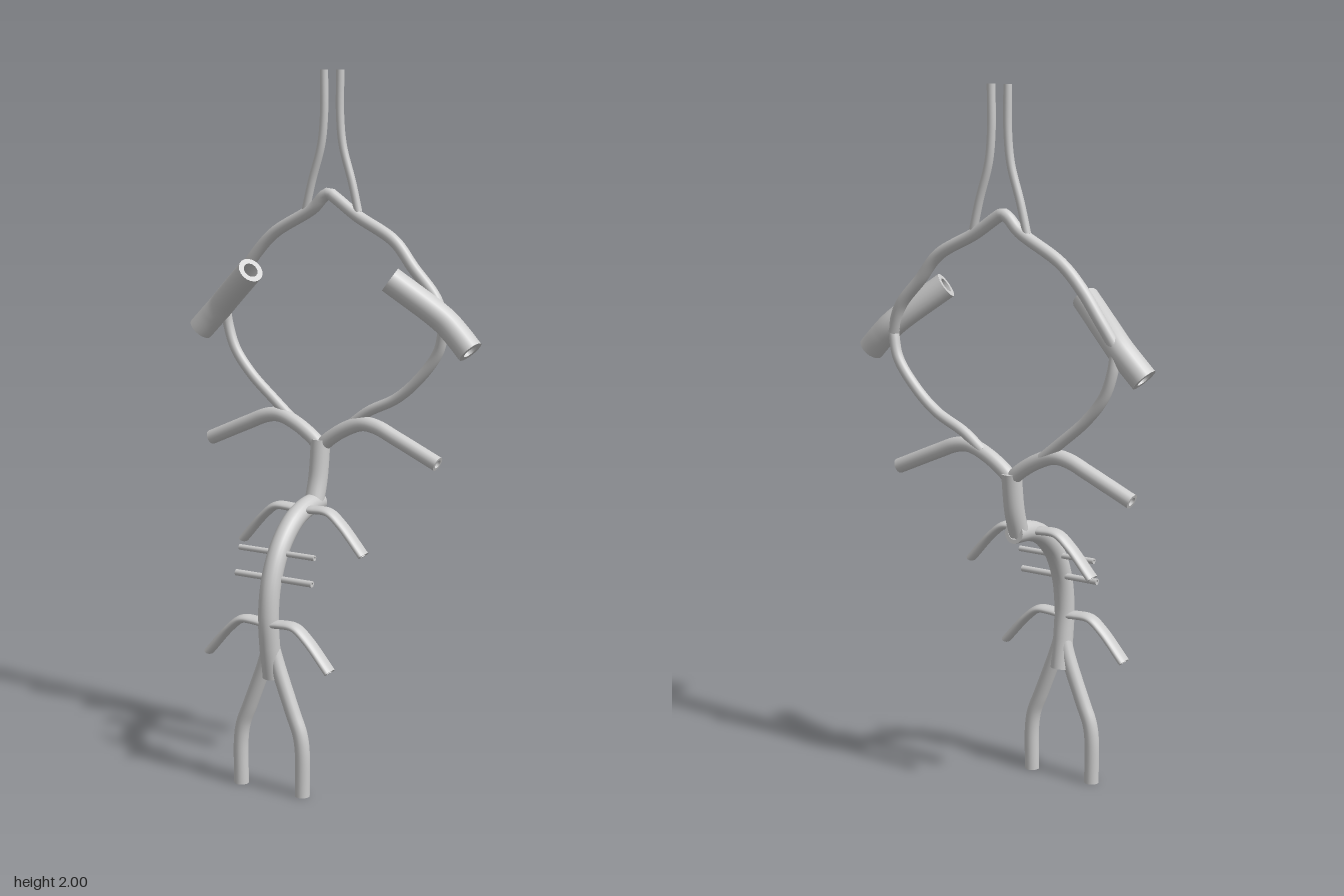
import * as THREE from 'three';
import { mergeGeometries } from 'three/addons/utils/BufferGeometryUtils.js';

const material = new THREE.MeshStandardMaterial({ color: 0xcccccc });
const AXIS = -0.042; // x of the trunk

// Hollow pipe along a smooth path, with ring-shaped ends
function pipe(name, points, radius, bore = 0.6, segments = 40) {
  const curve = new THREE.CatmullRomCurve3(points.map((p) => new THREE.Vector3(...p)), false, 'centripetal');
  const outer = new THREE.TubeGeometry(curve, segments, radius, 20);
  const inner = new THREE.TubeGeometry(curve, segments, radius * bore, 20);
  inner.index.array.reverse();
  const normals = inner.attributes.normal.array;
  for (let i = 0; i < normals.length; i++) normals[i] *= -1;
  const caps = [0, 1].map((t) => {
    const cap = new THREE.RingGeometry(radius * bore, radius, 20);
    const direction = curve.getTangentAt(t).multiplyScalar(t ? 1 : -1);
    cap.applyQuaternion(new THREE.Quaternion().setFromUnitVectors(new THREE.Vector3(0, 0, 1), direction));
    const p = curve.getPointAt(t);
    return cap.translate(p.x, p.y, p.z);
  });
  const mesh = new THREE.Mesh(mergeGeometries([outer, inner, ...caps]), material);
  mesh.name = name;
  return mesh;
}

// Mirror path points across the plane x = axis
const mirror = (points, axis) => points.map(([x, y, z]) => [2 * axis - x, y, z]);

export function createModel() {
  const model = new THREE.Group();
  model.name = 'arterialTree';
  const addPair = (name, points, radius, axis, bore) => model.add(
    pipe(name + 'Left', points, radius, bore),
    pipe(name + 'Right', mirror(points, axis), radius, bore));

  // Curved central trunk and the neck rising from its upper end
  model.add(pipe('trunk', [
    [AXIS, 0.33, 0.118], [AXIS, 0.42, 0.132], [AXIS, 0.51, 0.138], [AXIS, 0.6, 0.124],
    [AXIS, 0.685, 0.083], [AXIS, 0.75, 0.015], [AXIS, 0.777, -0.05], [AXIS, 0.786, -0.125],
  ], 0.029));
  model.add(pipe('neck', [
    [AXIS, 0.78, -0.1], [AXIS, 0.85, -0.122], [AXIS, 0.96, -0.137],
  ], 0.028));

  // Two legs that join below the trunk
  addPair('leg', [
    [0.06, 0, 0.125], [0.06, 0.13, 0.125], [0.052, 0.18, 0.125], [0.03, 0.235, 0.125],
    [-0.022, 0.37, 0.125], [-0.04, 0.43, 0.128],
  ], 0.021, AXIS);

  // Drooping side arms, deeper than they are thick
  for (const [name, y, z] of [['lowerArm', 0.49, 0.138], ['upperArm', 0.78, -0.04]]) {
    const arm = [
      [AXIS, y - 0.005, 0], [0.0, y, 0], [0.045, y - 0.002, 0], [0.085, y - 0.032, 0], [0.157, y - 0.112, 0],
    ];
    for (const [side, path] of [['Left', arm], ['Right', mirror(arm, AXIS)]]) {
      const mesh = pipe(name + side, path, 0.0115);
      mesh.geometry.scale(1, 1, 2);
      mesh.position.z = z;
      model.add(mesh);
    }
  }

  // Thin straight rods across the trunk
  model.add(pipe('upperRod', [[-0.172, 0.677, 0.084], [0.075, 0.677, 0.084]], 0.008, 0.5, 1));
  model.add(pipe('lowerRod', [[-0.167, 0.61, 0.11], [0.083, 0.61, 0.11]], 0.009, 0.5, 1));

  // Branches from the top of the neck
  addPair('branch', [
    [AXIS, 0.94, -0.137], [-0.015, 0.965, -0.137], [0.04, 1.0, -0.137], [0.095, 1.02, -0.137],
    [0.14, 1.015, -0.137], [0.2, 0.99, -0.137], [0.335, 0.93, -0.137],
  ], 0.021, AXIS);

  // Loop, from the branches up to the peak
  const Z = -0.142;
  model.add(pipe('lowerLoopLeft', [
    [0.05, 1.01, Z], [0.11, 1.055, Z], [0.2, 1.1, Z], [0.27, 1.16, Z], [0.33, 1.24, Z], [0.35, 1.31, -0.135],
  ], 0.015));
  model.add(pipe('lowerLoopRight', [
    [-0.14, 1.01, Z], [-0.2, 1.06, Z], [-0.28, 1.13, Z], [-0.335, 1.2, Z], [-0.36, 1.27, Z], [-0.365, 1.33, -0.135],
  ], 0.015));
  model.add(pipe('upperLoop', [
    [-0.365, 1.33, -0.135], [-0.32, 1.4, Z], [-0.265, 1.475, Z], [-0.2, 1.54, Z], [-0.07, 1.615, Z],
    [-0.035, 1.65, Z], [-0.018, 1.657, Z], [0.0, 1.647, Z], [0.07, 1.6, Z], [0.19, 1.535, Z],
    [0.25, 1.465, Z], [0.32, 1.385, Z], [0.35, 1.31, -0.135],
  ], 0.017, 0.6, 90));

  // Twin stems above the loop
  addPair('stem', [
    [0.075, 1.61, Z], [0.055, 1.69, Z], [0.025, 1.79, Z], [0.016, 1.87, Z], [0.016, 1.995, Z],
  ], 0.0115, -0.01);

  // Wide bent pipes on both sides of the loop
  addPair('widePipe', [
    [0.44, 1.252, -0.118], [0.4, 1.293, -0.12], [0.367, 1.325, -0.118],
    [0.335, 1.353, -0.107], [0.225, 1.44, -0.058],
  ], 0.037, 0, 0.58);

  return model;
}
